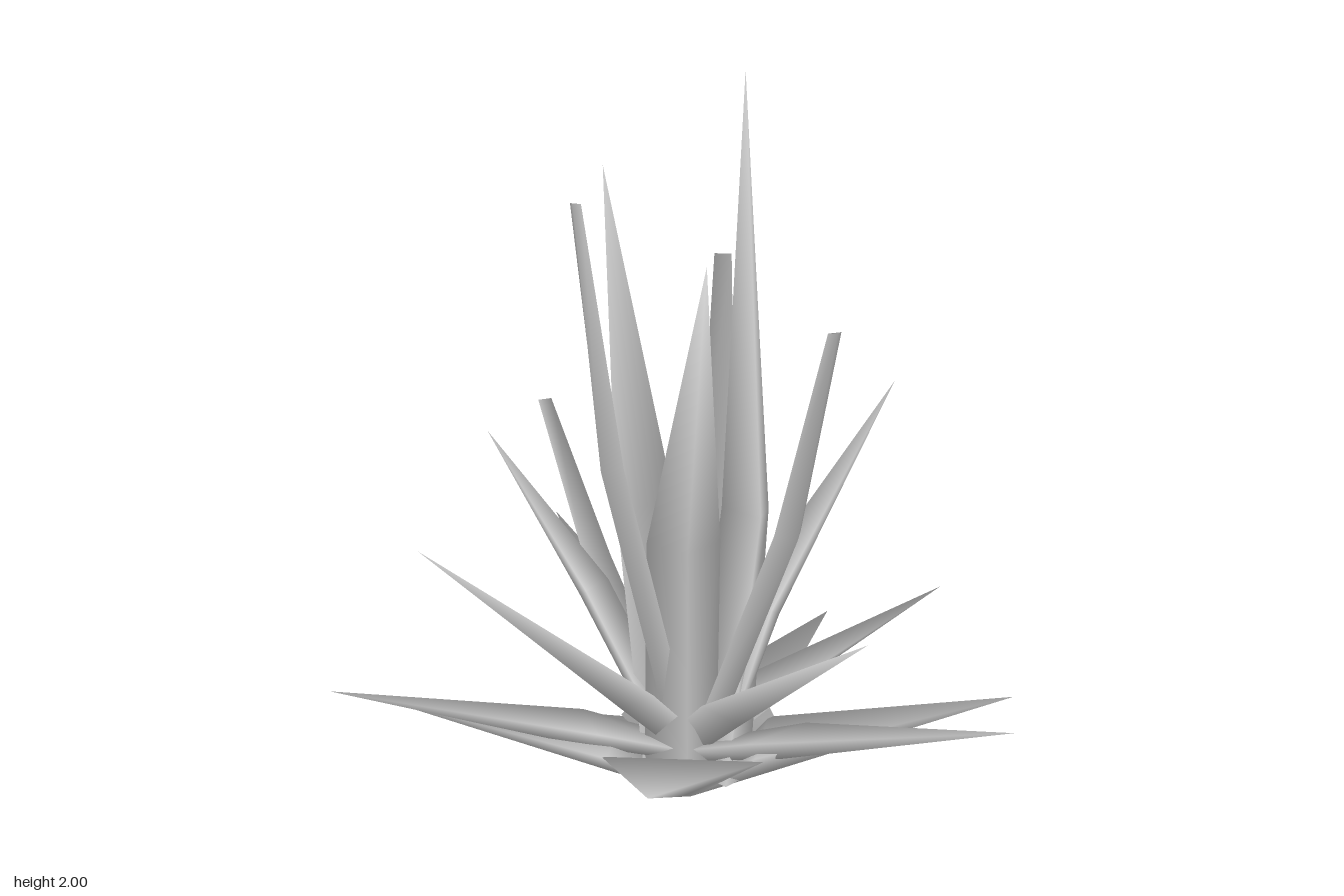
import * as THREE from 'three';
import { mergeVertices } from 'three/addons/utils/BufferGeometryUtils.js';

const CENTRE = [0.04, -0.06];
const material = new THREE.MeshStandardMaterial({ color: 0xcccccc, side: THREE.DoubleSide });

// Smooth normals weighted by corner angle, so wide faces do not outweigh narrow ones.
function smoothNormals(geometry) {
  const position = geometry.attributes.position;
  const index = geometry.index.array;
  const point = (i) => new THREE.Vector3().fromBufferAttribute(position, i);
  const sums = Array.from({ length: position.count }, () => new THREE.Vector3());
  for (let t = 0; t < index.length; t += 3) {
    for (let k = 0; k < 3; k++) {
      const corner = index[t + k];
      const p = point(corner);
      const u = point(index[t + (k + 1) % 3]).sub(p);
      const v = point(index[t + (k + 2) % 3]).sub(p);
      const angle = u.angleTo(v);
      sums[corner].addScaledVector(u.cross(v).normalize(), angle);
    }
  }
  const normals = sums.flatMap((n) => n.normalize().toArray());
  geometry.setAttribute('normal', new THREE.Float32BufferAttribute(normals, 3));
}

// One three-sided leaf: an outer rib through base, middle and tip, and two inner edges
// joined by a flat inner face. halfWidths and depths give the section at each rib point.
function leaf(name, points, halfWidths, depths, facing) {
  const rib = points.map((p) => new THREE.Vector3(...p));
  const [dx, dz] = facing ?? [rib[2].x - CENTRE[0], rib[2].z - CENTRE[1]];
  const out = new THREE.Vector3(dx, 0, dz).normalize();
  const side = new THREE.Vector3(out.z, 0, -out.x);
  const positions = [];
  const index = [];
  rib.forEach((p, i) => {
    const along = rib[Math.min(i + 1, 2)].clone().sub(rib[Math.max(i - 1, 0)]).normalize();
    const inward = along.cross(side).normalize();
    if (inward.dot(out) > 0) inward.negate();
    for (const s of [-1, 0, 1]) {
      const v = p.clone();
      if (s) v.addScaledVector(side, s * halfWidths[i]).addScaledVector(inward, depths[i]);
      positions.push(v.x, v.y, v.z);
    }
    if (i === 0) return;
    const row = (i - 1) * 3;
    for (let k = 0; k < 3; k++) {
      const a = row + k;
      const b = row + (k + 1) % 3;
      // a section that shrinks to a point needs one triangle per side
      if (halfWidths[i - 1] > 0) index.push(a, b + 3, b);
      if (halfWidths[i] > 0) index.push(a, a + 3, b + 3);
    }
  });
  let geometry = new THREE.BufferGeometry();
  geometry.setAttribute('position', new THREE.Float32BufferAttribute(positions, 3));
  geometry.setIndex(index);
  geometry = mergeVertices(geometry);
  smoothNormals(geometry);
  const mesh = new THREE.Mesh(geometry, material);
  mesh.name = name;
  return mesh;
}

export function createModel() {
  const plant = new THREE.Group();
  plant.name = 'spikyPlant';
  const [cx, cz] = CENTRE;
  const between = (tip, t, y) => [cx + (tip[0] - cx) * t, y, cz + (tip[2] - cz) * t];

  // broad ground leaves, meeting in a point at the bottom
  for (const tip of [[0.58, 0.31, -0.77], [0.74, 0.31, 0.48], [-0.51, 0.26, 0.64], [-0.67, 0.26, -0.61]]) {
    plant.add(leaf('groundLeaf', [[cx, 0, cz], between(tip, 0.26, tip[1] * 0.26), tip],
      [0, 0.22, 0], [0, 0.1, 0]));
  }

  // low leaves above them
  for (const tip of [[0.8, 0.35, -0.51], [0.42, 0.35, 0.89], [-0.89, 0.35, -0.4]]) {
    plant.add(leaf('lowLeaf', [between(tip, 0.05, 0.11), between(tip, 0.3, 0.16), tip],
      [0.09, 0.14, 0], [0.05, 0.07, 0]));
  }

  // rising leaves, the middle point at a share of the reach and a height
  const rising = [
    [[0.07, 0.67, -0.89], 0.28, 0.28], [[0.89, 0.5, -0.06], 0.28, 0.22],
    [[0.05, 0.6, 0.77], 0.3, 0.26], [[-0.78, 0.78, -0.07], 0.27, 0.28],
  ];
  for (const [tip, t, y] of rising) {
    plant.add(leaf('risingLeaf', [between(tip, 0.06, 0.14), between(tip, t, y), tip],
      [0.09, 0.1, 0], [0.06, 0.07, 0]));
  }

  // steep leaves
  plant.add(leaf('steepLeaf', [[0.14, 0.14, -0.02], [0.29, 0.5, 0], [0.66, 1.13, 0.02]],
    [0.09, 0.1, 0], [0.06, 0.08, 0]));
  plant.add(leaf('steepLeaf', [[-0.02, 0.14, -0.14], [-0.17, 0.55, -0.31], [-0.35, 1.0, -0.51]],
    [0.09, 0.09, 0], [0.06, 0.06, 0]));

  // tall inner leaves, wide right down to the base, each with the way it faces
  const tall = [
    [[[0.2, 0.05, -0.01], [0.26, 0.8, -0.01], [0.18, 2, -0.01]], [1, 0]],
    [[[0, 0.06, -0.25], [-0.03, 0.8, -0.29], [-0.09, 1.74, -0.31]], [-0.1, -1]],
    [[[-0.04, 0.06, 0.05], [-0.08, 0.73, 0.12], [-0.12, 1.51, 0.28]], [-0.4, 0.9]],
  ];
  for (const [points, facing] of tall) {
    plant.add(leaf('tallLeaf', points, [0.1, 0.1, 0], [0.14, 0.09, 0], facing));
  }

  // slim stalks with blunt ends
  const slim = [
    [[-0.05, 0.2, -0.03], [-0.27, 0.95, -0.01], [-0.345, 1.66, -0.02]],
    [[0.06, 0.2, 0.05], [0.13, 0.78, 0.33], [0.155, 1.34, 0.47]],
    [[0.12, 0.2, -0.16], [0.29, 0.85, -0.31], [0.35, 1.47, -0.39]],
    [[0.01, 0.2, -0.2], [-0.05, 0.6, -0.47], [-0.1, 1.05, -0.65]],
  ];
  for (const points of slim) {
    plant.add(leaf('slimStalk', points, [0.05, 0.05, 0.025], [0.04, 0.04, 0.01]));
  }
  return plant;
}
